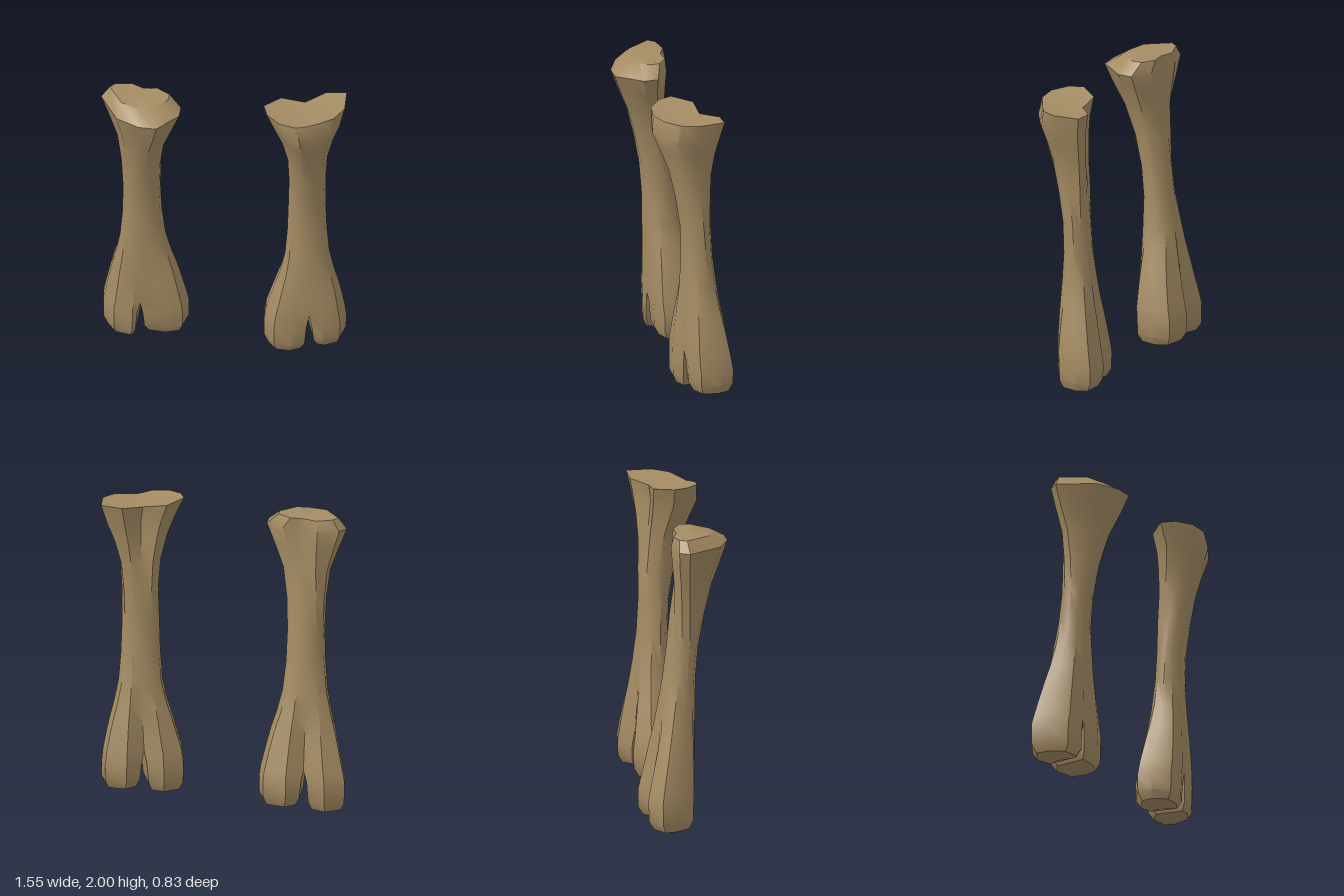
import * as THREE from 'three';
import { toCreasedNormals } from 'three/addons/utils/BufferGeometryUtils.js';

const { mapLinear, smoothstep, lerp } = THREE.MathUtils;

// Outlines run front middle -> +x -> back middle -> -x, as 12 [x, z] points.
const round = Array.from({ length: 12 }, (_, i) =>
  [Math.sin(i * Math.PI / 6), Math.cos(i * Math.PI / 6)]);

// Two-lobed lower end, mirrored from one half
const lobe = [[0, 0.7], [0.38, 0.85], [0.8, 0.65], [1, -0.05], [0.95, -0.65], [0.45, -1], [0, -0.65]];
const foot = [...lobe, ...lobe.slice(1, 6).reverse().map(([x, z]) => [-x, z])];

// Top outlines
const rightHead = [[-0.46, 0.185], [-0.38, 0.12], [-0.3, 0.06], [-0.28, -0.03], [-0.37, -0.14], [-0.43, -0.15],
  [-0.49, -0.165], [-0.58, -0.245], [-0.72, -0.25], [-0.775, -0.2], [-0.7, 0.05], [-0.57, 0.155]];
const leftHead = [[0.5, 0.385], [0.58, 0.365], [0.66, 0.34], [0.74, 0.25], [0.77, 0.075], [0.64, 0.04],
  [0.5, 0.11], [0.35, 0.07], [0.23, 0.17], [0.24, 0.27], [0.31, 0.37], [0.41, 0.41]];

// Shaft stations from top to notch: y, x min, x max, z min, z max
const rightShaft = [
  [1.945, -0.72, -0.35, -0.23, 0.07],
  [1.88, -0.775, -0.28, -0.25, 0.187],
  [1.6, -0.675, -0.38, -0.215, 0.065],
  [1.2, -0.64, -0.4, -0.235, -0.04],
  [0.8, -0.655, -0.365, -0.285, -0.065],
  [0.55, -0.7, -0.29, -0.34, -0.058],
  [0.3, -0.742, -0.224, -0.4, -0.048],
];
const leftShaft = [
  [1.968, 0.23, 0.772, 0.042, 0.395],
  [1.87, 0.29, 0.73, 0.058, 0.415],
  [1.6, 0.38, 0.64, 0.07, 0.31],
  [1.2, 0.39, 0.63, 0.055, 0.235],
  [0.8, 0.37, 0.655, 0.03, 0.23],
  [0.55, 0.305, 0.715, -0.01, 0.243],
  [0.36, 0.25, 0.755, -0.04, 0.252],
];

const range = (loop, k) => {
  const v = loop.map(p => p[k]);
  return [Math.min(...v), Math.max(...v)];
};

// Fits an outline into the given box
function fit(loop, x0, x1, z0, z1) {
  const [a, b] = range(loop, 0), [c, d] = range(loop, 1);
  return loop.map(([x, z]) => [mapLinear(x, a, b, x0, x1), mapLinear(z, c, d, z0, z1)]);
}

// Adds a smooth station halfway along every span below the rim
function refine(stations) {
  const curve = k => new THREE.CatmullRomCurve3(
    stations.map(s => new THREE.Vector3(s[k], s[0], s[k + 1])), false, 'catmullrom', 0.5);
  const xs = curve(1), zs = curve(3), spans = stations.length - 1;
  const out = [stations[0]];
  for (let i = 2; i <= spans * 2; i++) {
    const x = xs.getPoint(i / (spans * 2)), z = zs.getPoint(i / (spans * 2));
    out.push([x.y, x.x, x.z, z.x, z.z]);
  }
  return out;
}

// Skins between rings of [x, y, z] points listed from top to bottom
function skin(out, rings) {
  for (let i = 0; i + 1 < rings.length; i++) {
    const n = rings[i].length;
    for (let j = 0; j < n; j++) {
      const k = (j + 1) % n;
      const a = rings[i][j], b = rings[i][k], c = rings[i + 1][j], d = rings[i + 1][k];
      out.push(...a, ...c, ...d, ...a, ...d, ...b);
    }
  }
}

const centre = ring => [0, 1, 2].map(k => ring.reduce((s, p) => s + p[k], 0) / ring.length);

// Closes a ring with a fan to a point at height y
function cap(out, ring, y, up) {
  const [cx, , cz] = centre(ring);
  ring.forEach((p, j) => {
    const q = ring[(j + 1) % ring.length];
    out.push(cx, y, cz, ...(up ? p : q), ...(up ? q : p));
  });
}

// skew pushes the +x knuckle forward, lean shifts the front of the notch in x
function boneGeometry(head, stations, { skew, lean, dish, capY, floors }) {
  const out = [];
  const top = fit(head, -1, 1, -1, 1);
  const base = fit(foot.map(([x, z], i) => [x + (i === 0 ? lean : 0), z + skew * x]), -1, 1, -1, 1);

  // Shaft and flared head
  const shaft = refine(stations).map(([y, x0, x1, z0, z1], i) => {
    const headShare = smoothstep(y, 1.1, 1.9), footShare = 1 - smoothstep(y, 0.3, 1.1);
    const mix = round.map((p, j) => [0, 1].map(k =>
      lerp(lerp(p[k], top[j][k], headShare), base[j][k], footShare)));
    return fit(mix, x0, x1, z0, z1).map(([x, z], j) =>
      [x, y + (i === 0 ? dish * Math.abs(top[j][0]) : 0), z]);
  });
  skin(out, shaft);
  cap(out, shaft[0], capY, true);

  // Two knuckles below the notch, each using half of the lower outline
  const last = shaft[shaft.length - 1];
  const [notch, x0, x1, z0, z1] = stations[stations.length - 1];
  const low = fit(base, x0 - 0.012, x1 + 0.012, z0 - 0.015, z1 - 0.005);
  floors.forEach((floor, s) => {
    const ids = Array.from({ length: 7 }, (_, i) => (i + s * 6) % 12);
    const level = (y, gap, scale) => {
      const ring = ids.map(i => [low[i][0] + (i % 6 === 0 ? (1 - 2 * s) * gap : 0), y, low[i][1]]);
      const c = centre(ring);
      return ring.map(p => [lerp(c[0], p[0], scale), y, lerp(c[2], p[2], scale)]);
    };
    const knuckle = [
      ids.map(i => last[i]),
      level((notch + 0.16) / 2, 0.018, 1),
      level(floor + 0.09, 0.026, 0.98),
      level(floor + 0.035, 0.026, 0.78),
    ];
    skin(out, knuckle);
    cap(out, knuckle[3], floor, false);
  });

  const geo = new THREE.BufferGeometry();
  geo.setAttribute('position', new THREE.Float32BufferAttribute(out, 3));
  return toCreasedNormals(geo, 0.65);
}

export function createModel() {
  const group = new THREE.Group();
  group.name = 'bonePair';
  const boneMaterial = new THREE.MeshStandardMaterial({ color: 0xa58c64 });
  boneMaterial.name = 'boneTan';
  const addBone = (name, geometry) => {
    const mesh = new THREE.Mesh(geometry, boneMaterial);
    mesh.name = name;
    group.add(mesh);
  };
  addBone('rightBone', boneGeometry(rightHead, rightShaft,
    { skew: 0.25, lean: -0.2, dish: 0.01, capY: 1.945, floors: [0.03, 0] }));
  addBone('leftBone', boneGeometry(leftHead, leftShaft,
    { skew: 0, lean: 0.05, dish: 0.032, capY: 1.955, floors: [0.078, 0.05] }));
  return group;
}
